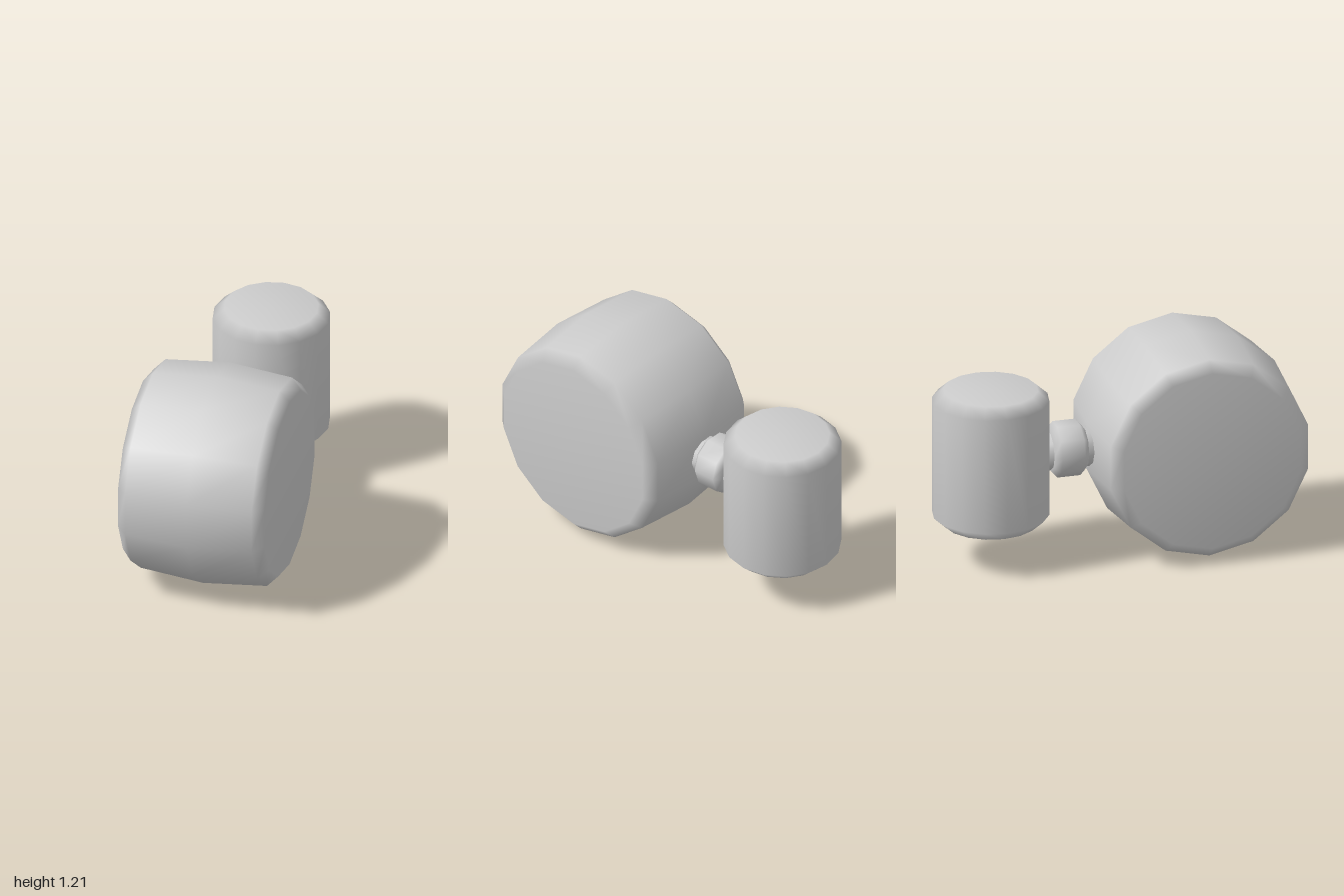
import * as THREE from 'three';

const material = new THREE.MeshStandardMaterial({ color: 0xcccccc, side: THREE.DoubleSide });

// Smooth turned part; profile is [radius, height] from bottom to top
function turned(name, profile, sides, phase = 0) {
  const points = profile.map(([r, h]) => new THREE.Vector2(r, h));
  const mesh = new THREE.Mesh(new THREE.LatheGeometry(points, sides, phase), material);
  mesh.name = name;
  return mesh;
}

export function createModel() {
  const model = new THREE.Group();
  model.name = 'hammerLikeModel';

  // All parts share one frame turned about the vertical axis
  const assembly = new THREE.Group();
  assembly.name = 'assembly';
  assembly.rotation.y = -0.468;
  model.add(assembly);

  // Large bulging drum lying on its side
  const drum = turned('drum', [
    [0, -0.412], [0.51, -0.412], [0.571, -0.355], [0.604, 0],
    [0.571, 0.355], [0.51, 0.412], [0, 0.412],
  ], 14, Math.PI / 2);
  drum.rotation.z = -Math.PI / 2;
  drum.position.set(0.05, 0.605, 0.352);
  assembly.add(drum);

  // Upright canister with bevelled rims, open underneath
  const canister = turned('canister', [
    [0.257, -0.387], [0.32, -0.33], [0.32, 0.33], [0.257, 0.387], [0, 0.387],
  ], 16);
  canister.position.set(0.04, 0.612, -0.78);
  assembly.add(canister);

  // Joint between the two: a thin neck through a bevelled collar
  const joint = new THREE.Group();
  joint.name = 'joint';
  joint.rotation.x = -Math.PI / 2;
  joint.position.set(0.042, 0.607, -0.355);
  joint.add(turned('neck', [[0, -0.2], [0.11, -0.2], [0.11, 0.15], [0, 0.15]], 10, Math.PI / 10));
  joint.add(turned('collar', [
    [0, -0.098], [0.115, -0.098], [0.154, -0.066], [0.154, 0.062], [0.115, 0.096], [0, 0.096],
  ], 10, Math.PI / 10));
  assembly.add(joint);

  return model;
}
